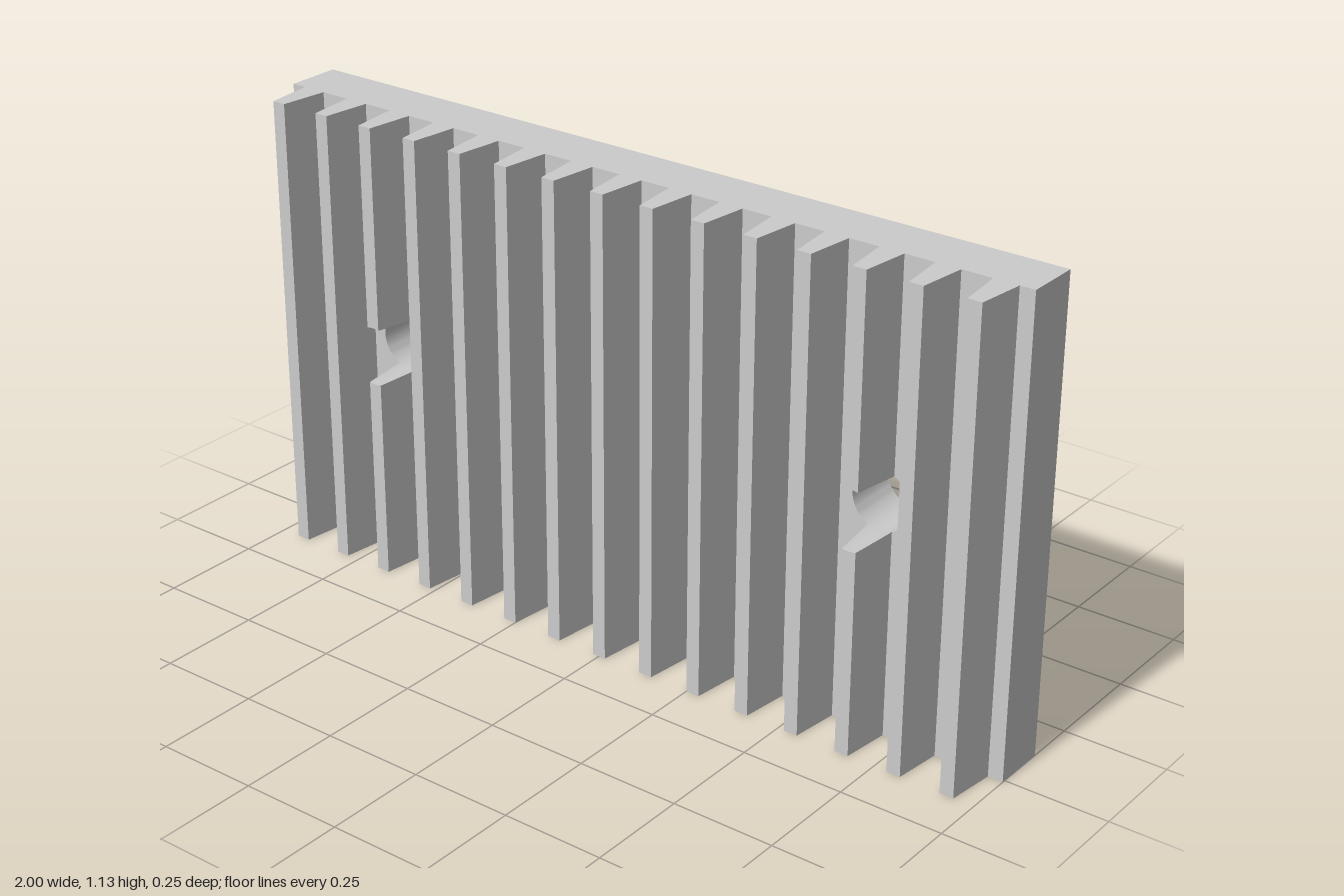
import * as THREE from 'three';
import { toCreasedNormals } from 'three/addons/utils/BufferGeometryUtils.js';

const W = 2, H = 1.132;
const BACK = -0.125, FACE = 0.008, TIP = 0.125;
const TEETH = 15, PITCH = W / TEETH;
const BASE_HALF = 0.03, TIP_HALF = 0.017;
const HOLE_X = 5 * PITCH, HOLE_Y = H / 2, HOLE_R = 0.072;

const material = new THREE.MeshStandardMaterial({ color: 0xcccccc });

// Plate with two round through holes
function plateGeometry() {
  const shape = new THREE.Shape();
  shape.moveTo(-W / 2, 0);
  shape.lineTo(W / 2, 0);
  shape.lineTo(W / 2, H);
  shape.lineTo(-W / 2, H);
  shape.closePath();
  for (const s of [-1, 1]) {
    const hole = new THREE.Path();
    hole.absarc(s * HOLE_X, HOLE_Y, HOLE_R, 0, Math.PI * 2, true);
    shape.holes.push(hole);
  }
  const geo = new THREE.ExtrudeGeometry(shape, {
    depth: FACE - BACK, bevelEnabled: false, curveSegments: 24,
  });
  geo.translate(0, 0, BACK);
  return toCreasedNormals(geo, 0.6);
}

// Tapered rib between two heights, each given as a function of x
function ribGeometry(bottom, top, segments) {
  const geo = new THREE.BoxGeometry(1, 1, 1, segments, 1, segments > 1 ? 3 : 1);
  const p = geo.attributes.position;
  for (let i = 0; i < p.count; i++) {
    const t = p.getZ(i) + 0.5;
    const x = p.getX(i) * 2 * THREE.MathUtils.lerp(BASE_HALF, TIP_HALF, t);
    const y = p.getY(i) > 0 ? top(x) : bottom(x);
    p.setXYZ(i, x, y, THREE.MathUtils.lerp(FACE, TIP, t));
  }
  geo.computeVertexNormals();
  return geo;
}

export function createModel() {
  const model = new THREE.Group();
  model.name = 'toothedClampPlate';

  const add = (geo, name, x = 0) => {
    const mesh = new THREE.Mesh(geo, material);
    mesh.name = name;
    mesh.position.x = x;
    model.add(mesh);
  };

  add(plateGeometry(), 'plate');

  // Full teeth, and teeth cut through by the holes
  const arc = (x) => Math.sqrt(HOLE_R * HOLE_R - x * x);
  const full = ribGeometry(() => 0, () => H, 1);
  const lower = ribGeometry(() => 0, (x) => HOLE_Y - arc(x), 8);
  const upper = ribGeometry((x) => HOLE_Y + arc(x), () => H, 8);

  for (let i = 0; i < TEETH; i++) {
    const x = (i - (TEETH - 1) / 2) * PITCH;
    if (Math.abs(Math.abs(x) - HOLE_X) < 0.01) {
      add(lower, 'lowerCutTooth', x);
      add(upper, 'upperCutTooth', x);
    } else {
      add(full, 'tooth', x);
    }
  }
  return model;
}
